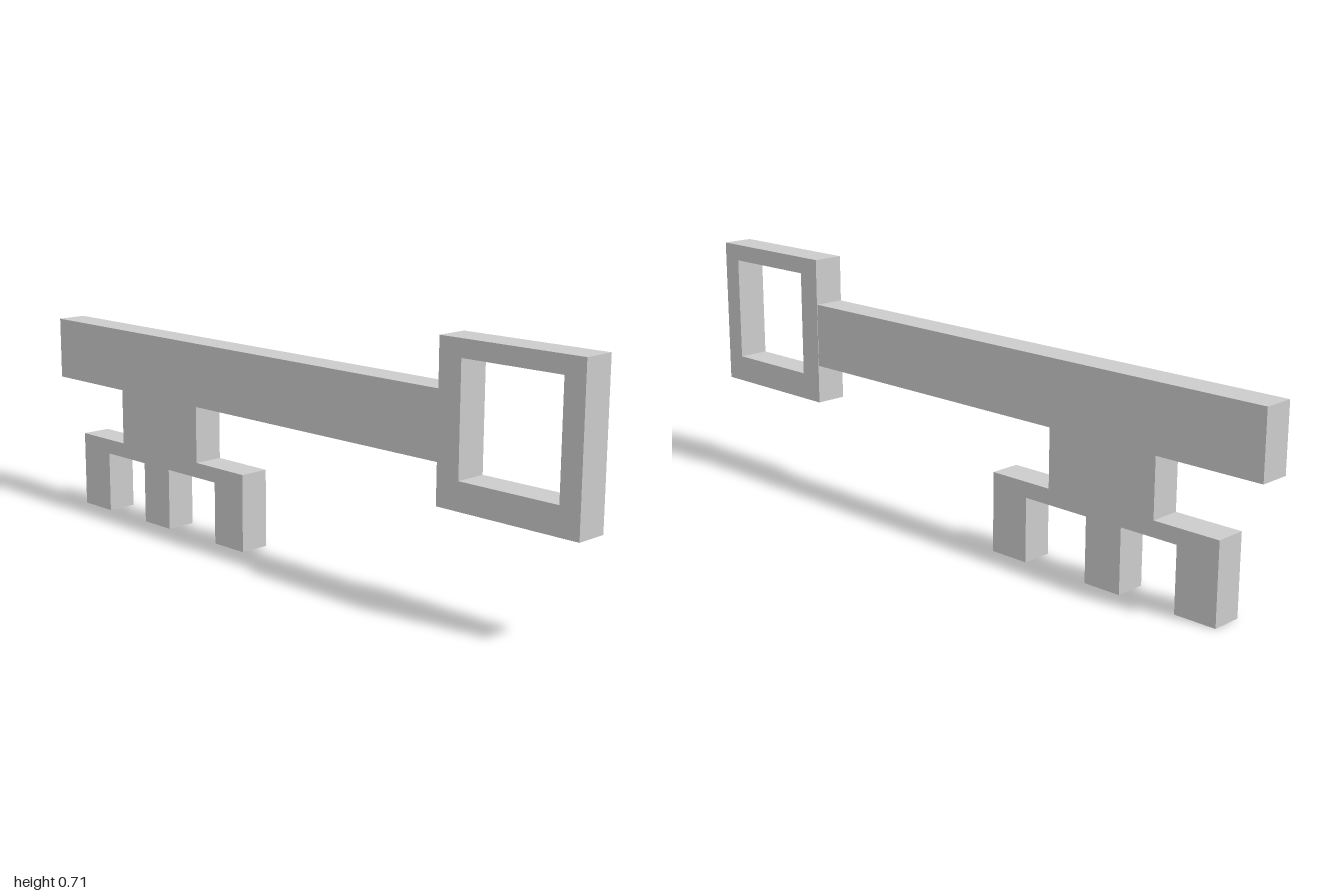
import * as THREE from 'three';

const material = new THREE.MeshStandardMaterial({ color: 0xcccccc, flatShading: true });

// Flat plate cut from an outline, centred on z = 0
function plate(name, outline, depth, hole) {
  const toPoints = (list) => list.map(([x, y]) => new THREE.Vector2(x, y));
  const shape = new THREE.Shape(toPoints(outline));
  if (hole) shape.holes.push(new THREE.Path(toPoints(hole)));
  const geometry = new THREE.ExtrudeGeometry(shape, { depth, bevelEnabled: false });
  geometry.translate(0, 0, -depth / 2);
  const mesh = new THREE.Mesh(geometry, material);
  mesh.name = name;
  return mesh;
}

const rect = (x0, y0, x1, y1) => [[x0, y0], [x1, y0], [x1, y1], [x0, y1]];

export function createModel() {
  const key = new THREE.Group();
  key.name = 'key';

  // Square handle with a square opening, slightly thicker than the blade
  key.add(plate('bow', rect(0.568, 0.278, 1, 0.706), 0.092, rect(0.638, 0.355, 0.94, 0.658)));

  // Shaft, stem, crossbar and three teeth in one outline
  const shaftBottom = 0.39, shaftTop = 0.574, barBottom = 0.181, barTop = 0.225;
  const teeth = [[-0.887, -0.763], [-0.589, -0.475], [-0.268, -0.149]];
  const toothEdge = teeth.flatMap(([a, b]) => [[a, barBottom], [a, 0], [b, 0], [b, barBottom]]).slice(1, -1);
  key.add(plate('shaftAndBit', [
    [-1, shaftTop], [-1, shaftBottom], [-0.69, shaftBottom], [-0.69, barTop], [-0.887, barTop],
    ...toothEdge,
    [-0.149, barTop], [-0.347, barTop], [-0.347, shaftBottom], [0.568, shaftBottom], [0.568, shaftTop],
  ], 0.089));

  return key;
}
